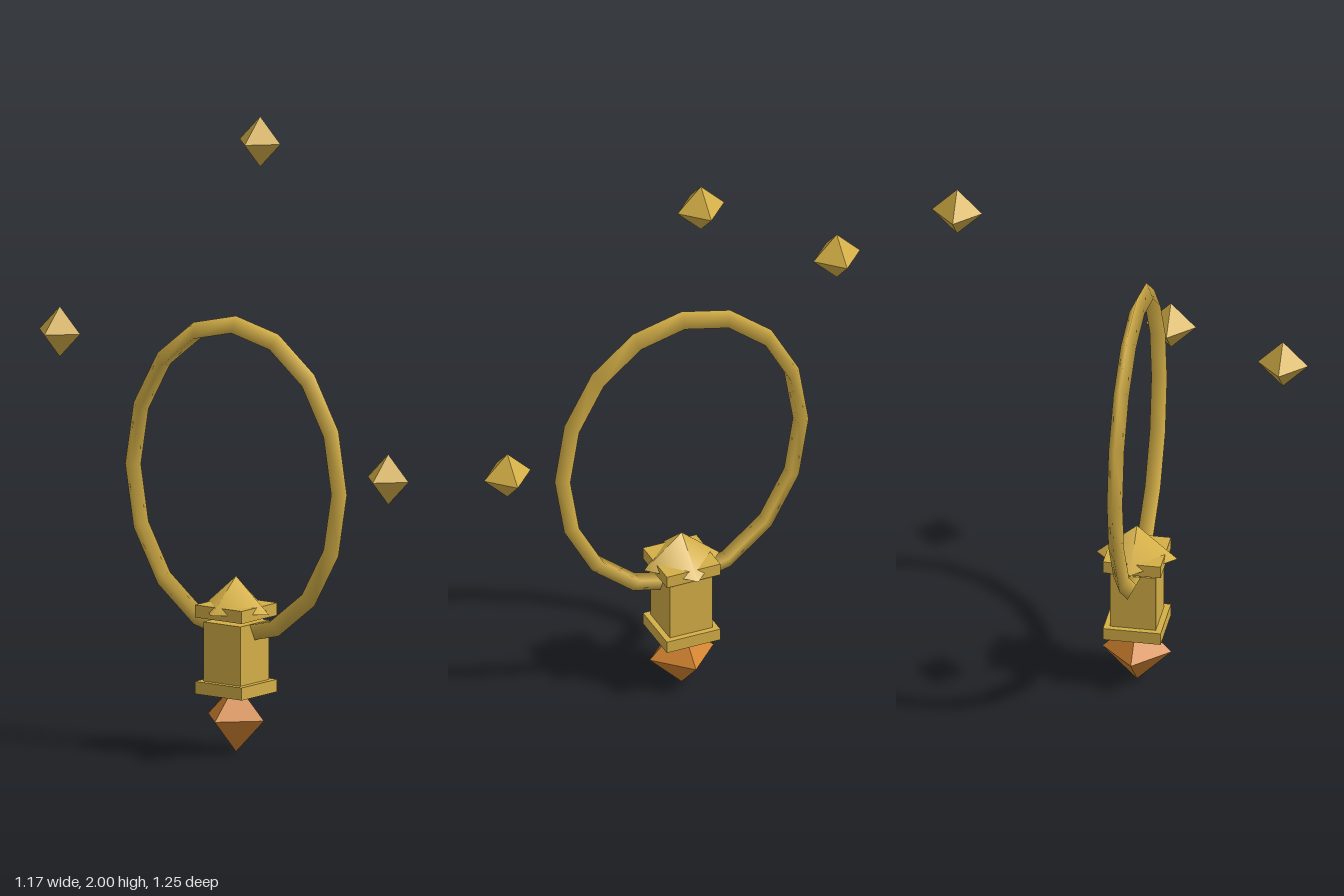
import * as THREE from 'three';

export function createModel() {
  const model = new THREE.Group();
  const gold = new THREE.MeshStandardMaterial({ name: 'gold', color: 0xd4af47 });
  const amber = new THREE.MeshStandardMaterial({ name: 'amber', color: 0xd4842f });
  const axisX = -0.127; // the lantern and ring share this vertical axis

  function add(name, geometry, material, x, y, z = 0) {
    const mesh = new THREE.Mesh(geometry, material);
    mesh.name = name;
    mesh.position.set(x, y, z);
    model.add(mesh);
    return mesh;
  }

  // Hanging gem at the foot
  add('footGem', new THREE.OctahedronGeometry(0.115), amber, axisX, 0.116);

  // Square column between two plates
  const plate = new THREE.BoxGeometry(0.192, 0.042, 0.192);
  add('basePlate', plate, gold, axisX, 0.218);
  add('column', new THREE.BoxGeometry(0.153, 0.2, 0.153), gold, axisX, 0.337);
  add('topPlate', plate, gold, axisX, 0.473);

  // Four-sided roof, turned 45 degrees to the plates
  add('roof', new THREE.ConeGeometry(0.135, 0.114, 4), gold, axisX, 0.53);

  // Tall oval ring with a three-sided section
  const ring = add('ring', new THREE.TorusGeometry(0.426, 0.03, 3, 16), gold, axisX, 0.909);
  ring.scale.y = 1.195;

  // Three gems rising in a spiral around the axis
  const orbitGem = new THREE.OctahedronGeometry(0.084);
  for (let i = 0; i < 3; i++) {
    const a = (i * Math.PI * 2) / 3;
    add('orbitGem' + (i + 1), orbitGem, gold,
      axisX + 0.626 * Math.cos(a), 0.981 + 0.4675 * i, 0.626 * Math.sin(a));
  }
  return model;
}
